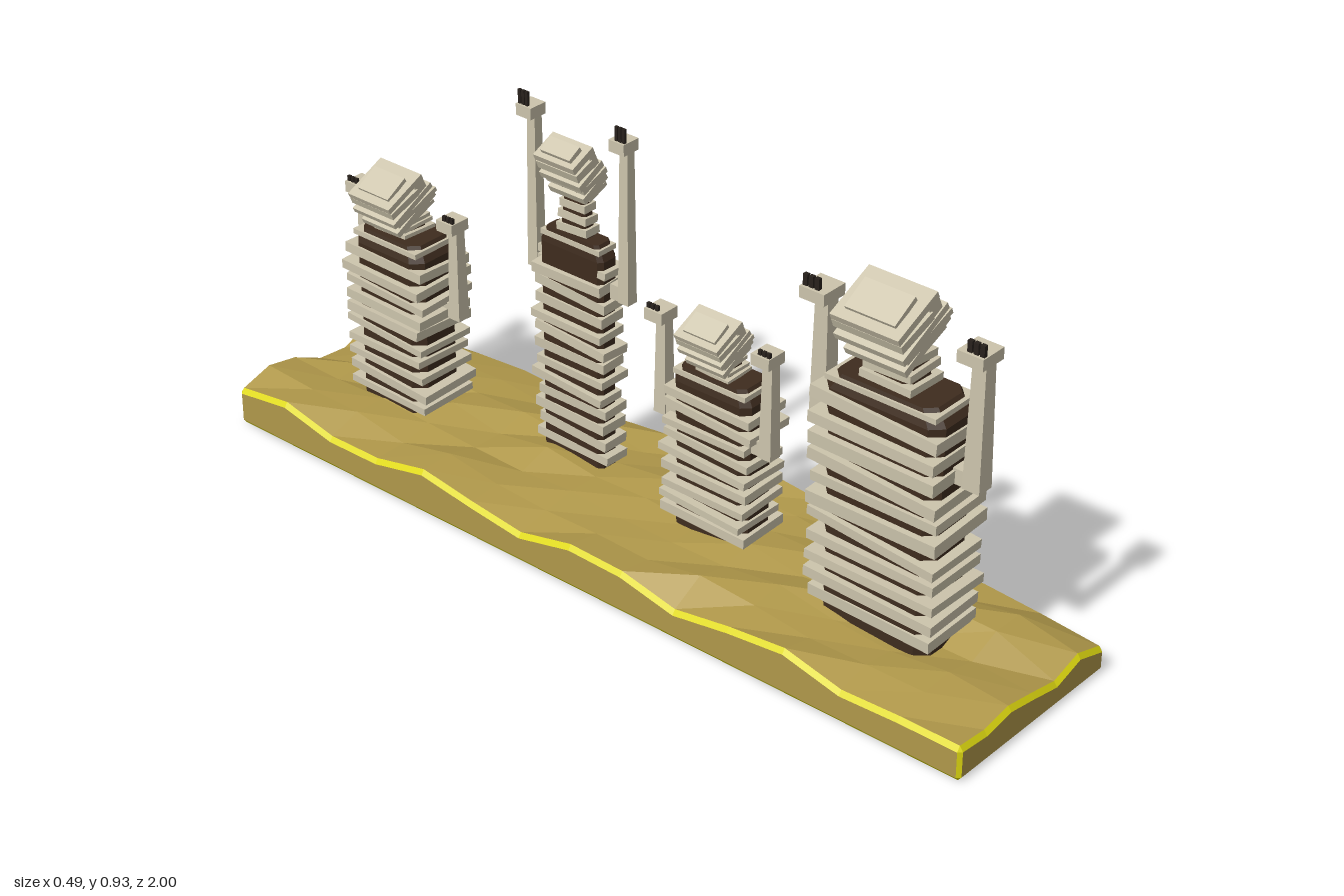
import * as THREE from 'three';

const mat = (color, side = THREE.FrontSide) =>
  new THREE.MeshStandardMaterial({ color, flatShading: true, roughness: 0.9, side });
const sand = mat(0xb0984a, THREE.DoubleSide), trim = mat(0xe0da10, THREE.DoubleSide);
const cloth = mat(0xccc4ac), dark = mat(0x3e2c1e, THREE.DoubleSide), nail = mat(0x28211c);
const eyeMat = new THREE.MeshStandardMaterial({ color: 0xd6c814, roughness: 0.6 });

let seed = 7;
const rnd = () => { // seeded, -1..1
  seed = (seed * 16807) % 2147483647;
  return (seed / 2147483647) * 2 - 1;
};

function add(parent, name, geo, material, x = 0, y = 0, z = 0) {
  const m = new THREE.Mesh(geo, material);
  m.name = name;
  m.position.set(x, y, z);
  parent.add(m);
  return m;
}
const box = (parent, name, material, w, h, d, x, y, z) =>
  add(parent, name, new THREE.BoxGeometry(w, h, d), material, x, y, z);

function polyGeo(pos) {
  const g = new THREE.BufferGeometry();
  g.setAttribute('position', new THREE.Float32BufferAttribute(pos, 3));
  g.computeVertexNormals();
  return g;
}
const quad = (out, a, b, c, d) => out.push(...a, ...b, ...c, ...a, ...c, ...d);

// Loft of chamfered rectangles: each ring is [y, half x, half z]
function loft(rings) {
  const out = [], corner = ([y, a, b]) => {
    const k = 0.18, c = Math.min(a, b) * k * 2;
    return [[a, b - c], [a - c, b], [c - a, b], [-a, b - c], [-a, c - b], [c - a, -b], [a - c, -b], [a, c - b]]
      .map(([x, z]) => [x, y, z]);
  };
  const R = rings.map(corner);
  for (let i = 0; i < R.length - 1; i++)
    for (let j = 0; j < 8; j++) {
      const k = (j + 1) % 8;
      quad(out, R[i][k], R[i][j], R[i + 1][j], R[i + 1][k]);
    }
  const top = R[R.length - 1], bot = R[0];
  for (let j = 1; j < 7; j++) {
    out.push(...top[0], ...top[j + 1], ...top[j]);
    out.push(...bot[0], ...bot[j], ...bot[j + 1]);
  }
  return polyGeo(out);
}

// Dune base: faceted top, plain sides, bright bevels on every edge
function makeBase() {
  const g = new THREE.Group();
  g.name = 'sandBase';
  const NX = 6, NZ = 14, X = 0.235, Z = 0.993, B = 0.008;
  const sideProfile = [0.05, 0.07, 0.085, 0.095, 0.07, 0.095, 0.085, 0.12, 0.095, 0.055, 0.085, 0.075, 0.06];
  const frontProfile = [0.082, 0.075, 0.088, 0.075, 0.06, 0.084, 0.055];
  const pick = (arr, t) => {
    const f = t * (arr.length - 1), i = Math.min(Math.floor(f), arr.length - 2);
    return THREE.MathUtils.lerp(arr[i], arr[i + 1], f - i);
  };
  const P = [];
  for (let j = 0; j <= NZ; j++) {
    P.push([]);
    for (let i = 0; i <= NX; i++) {
      let y = 0.096 + rnd() * 0.02;
      if (i === NX) y = pick(sideProfile, j / NZ);
      else if (j === NZ) y = frontProfile[i];
      else if (i === 0) y = 0.09 + 0.02 * Math.sin(j * 1.9);
      else if (j === 0) y = 0.085 + 0.03 * Math.sin(i * 1.3);
      P[j].push([(i / NX * 2 - 1) * X, y, (j / NZ * 2 - 1) * Z]);
    }
  }
  const plain = [], bevel = [];
  for (let j = 0; j < NZ; j++)
    for (let i = 0; i < NX; i++) quad(plain, P[j][i], P[j + 1][i], P[j + 1][i + 1], P[j][i + 1]);
  const edges = [ // perimeter runs with outward direction
    [P[NZ], 0, 1], [P.map(r => r[NX]).reverse(), 1, 0],
    [[...P[0]].reverse(), 0, -1], [P.map(r => r[0]), -1, 0]];
  const column = (p, nx, nz) => {
    const x = p[0] + nx * B, z = p[2] + nz * B;
    return [[p[0], 0, p[2]], [x, 0.01, z], [x, p[1] - 0.012, z], p];
  };
  edges.forEach(([run, nx, nz], e) => {
    const C = run.map(p => column(p, nx, nz));
    for (let i = 0; i < C.length - 1; i++)
      for (let k = 0; k < 3; k++)
        quad(k === 1 ? plain : bevel, C[i][k], C[i + 1][k], C[i + 1][k + 1], C[i][k + 1]);
    const [, mx, mz] = edges[(e + 1) % 4], a = C[C.length - 1];
    const b = column(run[run.length - 1], mx, mz);
    for (let k = 0; k < 3; k++) quad(bevel, a[k], b[k], b[k + 1], a[k + 1]);
  });
  quad(plain, [-X, 0, -Z], [X, 0, -Z], [X, 0, Z], [-X, 0, Z]);
  add(g, 'dunes', polyGeo(plain), sand);
  add(g, 'brightEdge', polyGeo(bevel), trim);
  return g;
}

// Head: tilted stack of cloth slabs around a dark core, looking along +x
function makeHead({ l, h, w }) {
  const g = new THREE.Group();
  g.name = 'head';
  add(g, 'headCore', loft([[-h * 0.45, l * 0.28, w * 0.32], [-h * 0.1, l * 0.4, w * 0.42],
    [h * 0.12, l * 0.36, w * 0.43], [h * 0.4, l * 0.22, w * 0.4]]), dark, -l * 0.04);
  // each slab: back end, front end, height, thickness, width, tilt
  const slabs = [
    [-0.36, 0.08, 0.52, 0.09, 0.72, 0.1], [-0.5, 0.3, 0.42, 0.12, 0.98, 0],
    [-0.5, 0.12, 0.24, 0.14, 1.0, -0.08], [-0.54, 0.38, 0.06, 0.12, 1.0, 0.04],
    [-0.46, 0.44, -0.1, 0.1, 0.94, -0.06], [-0.52, 0.4, -0.25, 0.13, 0.88, 0.05],
    [-0.3, 0.36, -0.41, 0.08, 0.74, -0.05]];
  for (const [a, b, y, t, d, r] of slabs)
    box(g, 'headWrap', cloth, (b - a) * l, t * h, d * w, (a + b) / 2 * l, y * h, 0).rotation.z = r;
  for (const s of [-1, 1]) {
    box(g, 'templeWrap', cloth, l * 0.2, h * 0.28, w * 0.1, l * 0.2, h * 0.24, s * w * 0.43);
    add(g, 'eye', new THREE.SphereGeometry(w * 0.13, 12, 8), eyeMat, l * 0.21, h * 0.25, s * w * 0.19)
      .scale.set(0.8, 0.75, 1);
  }
  g.rotation.z = 0.44;
  return g;
}

// Raised arm: elbow, tapered forearm, palm and three fingers
function makeArm({ x, off, low, high, t, tip }, s) {
  const g = new THREE.Group();
  g.name = s > 0 ? 'rightArm' : 'leftArm';
  box(g, 'elbow', cloth, t * 0.9, 0.035, t * 1.7, 0, low + 0.018, -s * t * 0.6);
  const len = high - low;
  const fore = add(g, 'forearm', new THREE.CylinderGeometry(t * 0.58, t * 0.76, len, 4, 1), cloth, 0, low + len / 2);
  fore.geometry.rotateY(Math.PI / 4);
  box(g, 'palm', cloth, t * 1.75, 0.026, t * 1.6, -t * 0.4, high, 0);
  for (let i = -1; i <= 1; i++)
    box(g, 'finger', nail, t * 0.24, tip - high, t * 0.28, -t * 0.98, (tip + high) / 2, s * t * 0.2 + i * t * 0.38);
  g.position.set(x, 0, s * off);
  return g;
}

function makeMummy(p) {
  const g = new THREE.Group();
  g.name = 'mummy';
  const { hx, hz, top } = p, foot = 0.06, neckTop = p.head.y - p.head.h * 0.3;
  add(g, 'bodyCore', loft([[foot, hx * 1.04, hz * 0.96], [0.3, hx * 0.98, hz * 0.97], [top - 0.035, hx, hz],
    [top, hx * 0.84, hz * 0.82]]), dark, p.x);
  // bandages round the body, each a little crooked
  const n = p.bands, step = (top - 0.06 - 0.125) / (n - 1);
  for (let i = 0; i < n; i++) {
    const b = box(g, 'bodyWrap', cloth, hx * 2.2 + 0.012 + rnd() * 0.01, step * (0.54 + 0.1 * rnd()),
      hz * 2.07 + 0.012 + rnd() * 0.008, p.x + rnd() * 0.006, 0.125 + i * step, rnd() * 0.006);
    b.rotation.set((i % 3 === 1 ? 0.06 : 0.015) + rnd() * 0.02, rnd() * 0.02, rnd() * 0.05);
  }
  box(g, 'shoulderWrap', cloth, hx * 1.9, 0.012, hz * 1.86, p.x, top - 0.014, 0);
  // wrapped neck
  const nw = p.head.w * 0.3, nx = Math.min(hx * 0.6, nw);
  add(g, 'neckCore', loft([[top - 0.01, nx * 1.1, nw * 1.1], [neckTop, nx * 0.8, nw * 0.8]]), dark, p.x);
  for (let i = 0; i < 4; i++) {
    const k = 1.25 - i * 0.1;
    box(g, 'neckWrap', cloth, nx * 2 * k, (neckTop - top) * 0.16, nw * 2 * k,
      p.x, top + (neckTop - top) * (0.12 + i * 0.25), 0).rotation.set(rnd() * 0.06, 0, rnd() * 0.08);
  }
  const head = makeHead(p.head);
  head.position.set(p.head.x, p.head.y, 0);
  g.add(head);
  for (const s of [1, -1]) g.add(makeArm(p.arm, s));
  g.position.z = p.z;
  return g;
}

export function createModel() {
  const model = new THREE.Group();
  model.name = 'mummyRow';
  model.add(makeBase());
  const mummies = [
    { x: 0.01, z: 0.64, hx: 0.07, hz: 0.143, top: 0.64, bands: 11,
      head: { x: -0.015, y: 0.785, l: 0.165, h: 0.135, w: 0.165 },
      arm: { x: 0.013, off: 0.187, low: 0.47, high: 0.772, t: 0.038, tip: 0.81 } },
    { x: 0.035, z: 0.18, hx: 0.05, hz: 0.102, top: 0.47, bands: 9,
      head: { x: 0.014, y: 0.55, l: 0.11, h: 0.105, w: 0.115 },
      arm: { x: 0.013, off: 0.14, low: 0.33, high: 0.568, t: 0.029, tip: 0.592 } },
    { x: 0.055, z: -0.235, hx: 0.028, hz: 0.088, top: 0.635, bands: 13,
      head: { x: 0.047, y: 0.785, l: 0.085, h: 0.135, w: 0.112 },
      arm: { x: 0.065, off: 0.128, low: 0.51, high: 0.88, t: 0.026, tip: 0.925 } },
    { x: -0.005, z: -0.69, hx: 0.068, hz: 0.102, top: 0.51, bands: 10,
      head: { x: -0.025, y: 0.597, l: 0.14, h: 0.11, w: 0.125 },
      arm: { x: 0.013, off: 0.139, low: 0.33, high: 0.565, t: 0.029, tip: 0.59 } }];
  for (const p of mummies) model.add(makeMummy(p));
  return model;
}
